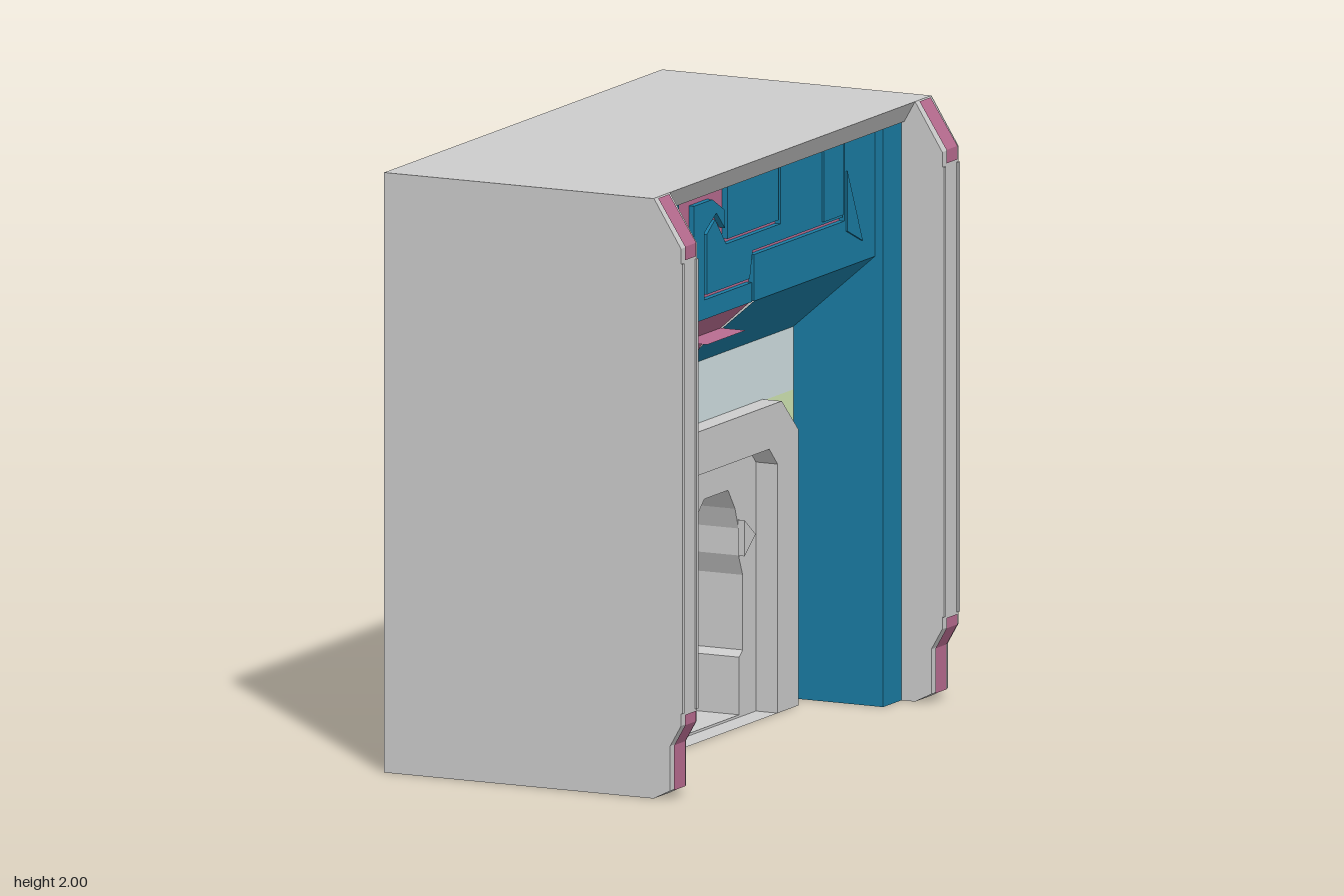
import * as THREE from 'three';

const mat = (color) => new THREE.MeshStandardMaterial({ color, side: THREE.DoubleSide, flatShading: true });

export function createModel() {
  const group = new THREE.Group();
  const grey = mat(0xcccccc), teal = mat(0x1a7ca3), pink = mat(0xb86c90);
  const pale = mat(0xd2e2e4), lime = mat(0xd3e8b4);

  const add = (name, geometry, material) => {
    const mesh = new THREE.Mesh(geometry, material);
    mesh.name = name;
    group.add(mesh);
    return mesh;
  };

  // thin surface between two matching rows of points
  const ruled = (a, b) => {
    const pos = [];
    for (let i = 0; i < a.length - 1; i++) {
      pos.push(...a[i], ...b[i], ...b[i + 1], ...a[i], ...b[i + 1], ...a[i + 1]);
    }
    const g = new THREE.BufferGeometry();
    g.setAttribute('position', new THREE.Float32BufferAttribute(pos, 3));
    g.computeVertexNormals();
    return g;
  };
  // xy profile swept along z
  const sheet = (profile, z0, z1) =>
    ruled(profile.map(([x, y]) => [x, y, z0]), profile.map(([x, y]) => [x, y, z1]));

  const shapeOf = (pts) => new THREE.Shape(pts.map(([u, v]) => new THREE.Vector2(u, v)));
  // outline in (z, y), standing at x and extruded towards +x
  const plate = (pts, x, depth, hole) => {
    const turn = (list) => list.map(([z, y]) => [-z, y]);
    const shape = shapeOf(turn(pts));
    if (hole) shape.holes.push(shapeOf(turn(hole)));
    const g = depth
      ? new THREE.ExtrudeGeometry(shape, { depth, bevelEnabled: false })
      : new THREE.ShapeGeometry(shape);
    return g.rotateY(Math.PI / 2).translate(x, 0, 0);
  };
  // half outline mirrored into a closed arch
  const mirror = (half) => [...half, ...half.slice().reverse().map(([z, y]) => [-z, y])];
  const rect = (z0, z1, y0, y1) => [[z0, y0], [z1, y0], [z1, y1], [z0, y1]];

  // outer shell: roof and two side walls
  const edge = [[0.44, 0], [0.5, 0.03], [0.5, 0.18], [0.54, 0.25], [0.54, 1.84], [0.44, 2]];
  add('roof', sheet([[-0.55, 2], [0.44, 2], [0.4, 1.93], [0.36, 1.93]], -1, 1), grey);
  const wallShape = shapeOf([[-0.55, 0], ...edge, [-0.55, 2]]);
  const pillarShape = shapeOf([[0.39, 0], ...edge, [0.39, 2]]);

  for (const s of [-1, 1]) {
    add('sideWall', new THREE.ShapeGeometry(wallShape).translate(0, 0, s), grey);

    // corner pillar with raised rims and coloured end caps
    const pillar = new THREE.ExtrudeGeometry(pillarShape, { depth: 0.115, bevelEnabled: false });
    add('cornerPillar', pillar.translate(0, 0, s > 0 ? 0.882 : -0.997), grey);
    for (const z of [0.89, 0.99]) {
      const rim = new THREE.BoxGeometry(0.012, 1.5, 0.014);
      add('pillarRim', rim.translate(0.54, 1.04, s * z), grey);
    }
    add('pillarTopCap', sheet([[0.447, 1.998], [0.546, 1.845], [0.546, 1.8]], s * 0.9, s * 0.98), pink);
    add('pillarFootCap', sheet([[0.546, 0.285], [0.546, 0.25], [0.506, 0.18], [0.506, 0.03]], s * 0.9, s * 0.98), pink);

    // tall inner column
    const plan = [[0.06, 0.75], [0.39, 0.75], [0.39, 0.885]];
    add('innerColumn', ruled(plan.map(([x, z]) => [x, 0, s * z]), plan.map(([x, z]) => [x, 1.93, s * z])), teal);

    // small clip beside the opening
    add('doorClip', plate([[s * 0.37, 0.54], [s * 0.45, 0.6], [s * 0.37, 0.66]], 0.05, 0.025), grey);
  }

  // recessed back wall
  const lintelHole = mirror([[0.62, 0], [0.62, 0.9], [0.5, 1.0]]);
  add('lowerPanel', plate(mirror([[0.75, 0], [0.75, 1.03]]), 0.06, 0, lintelHole), lime);
  add('paleBand', plate(rect(-0.75, 0.75, 1.03, 1.25), 0.06, 0), pale);

  // stepped doorway
  const outerArch = mirror([[0.65, 0], [0.65, 0.92], [0.53, 1.035]]);
  const innerArch = mirror([[0.5, 0], [0.5, 0.83], [0.44, 0.89]]);
  const opening = mirror([[0.38, 0.008], [0.38, 0.2], [0.405, 0.22], [0.405, 0.47], [0.375, 0.54],
    [0.375, 0.63], [0.35, 0.7], [0.3, 0.77], [0.13, 0.77], [0.09, 0.735]]);
  add('outerDoorFrame', plate(outerArch, 0.04, 0.09, innerArch), grey);
  add('innerDoorFrame', plate(innerArch, 0.03, 0.02, opening), grey);

  // passage running to the rear, with its end frame
  const loop = [...opening, opening[0]];
  add('passage', ruled(loop.map(([z, y]) => [-0.55, y, z]), loop.map(([z, y]) => [0.04, y, z])), grey);
  add('passageEndFrame', plate(mirror([[0.48, 0], [0.48, 0.85]]), -0.55, 0.025, opening), grey);

  // overhanging upper panel: slope, then upright face
  const slope = [[0.06, 1.24], [0.36, 1.5]];
  add('upperSlope', sheet(slope, -0.75, 0.12), teal);
  add('upperSlopeAccent', sheet([[0.07, 1.25], [0.35, 1.5]], 0.12, 0.66), pink);
  add('upperSlopeEnd', sheet(slope, 0.66, 0.75), teal);
  add('upperBacking', plate(rect(-0.75, 0.75, 1.5, 1.93), 0.34, 0), pink);

  // interlocking cover plates leaving narrow coloured seams
  const covers = [
    rect(0.66, 0.75, 1.5, 1.93),
    [[0.31, 1.74], [-0.055, 1.74], [-0.055, 1.93], [0.31, 1.93]],
    [[0.46, 1.58], [0.15, 1.58], [0.13, 1.67], [-0.515, 1.67], [-0.515, 1.93], [-0.07, 1.93],
      [-0.07, 1.725], [0.32, 1.725], [0.4, 1.82], [0.46, 1.78]],
    [[0.12, 1.5], [-0.75, 1.5], [-0.75, 1.93], [-0.53, 1.93], [-0.53, 1.655], [0.12, 1.655]],
    [[0.55, 1.5], [0.135, 1.5], [0.135, 1.565], [0.475, 1.565], [0.475, 1.79], [0.39, 1.84],
      [0.33, 1.78], [0.33, 1.84], [0.42, 1.89], [0.55, 1.89]],
  ];
  for (const pts of covers) add('coverPlate', plate(pts, 0.335, 0.025), teal);
  add('raisedWedge', plate([[-0.54, 1.82], [-0.65, 1.57], [-0.54, 1.62]], 0.355, 0.012), teal);
  add('raisedTab', plate(rect(-0.37, -0.51, 1.68, 1.93), 0.355, 0.012), teal);
  add('slopeBlock', sheet([[0.13, 1.27], [0.2, 1.4], [0.33, 1.4]], 0.12, 0.4), pink);

  return group;
}
